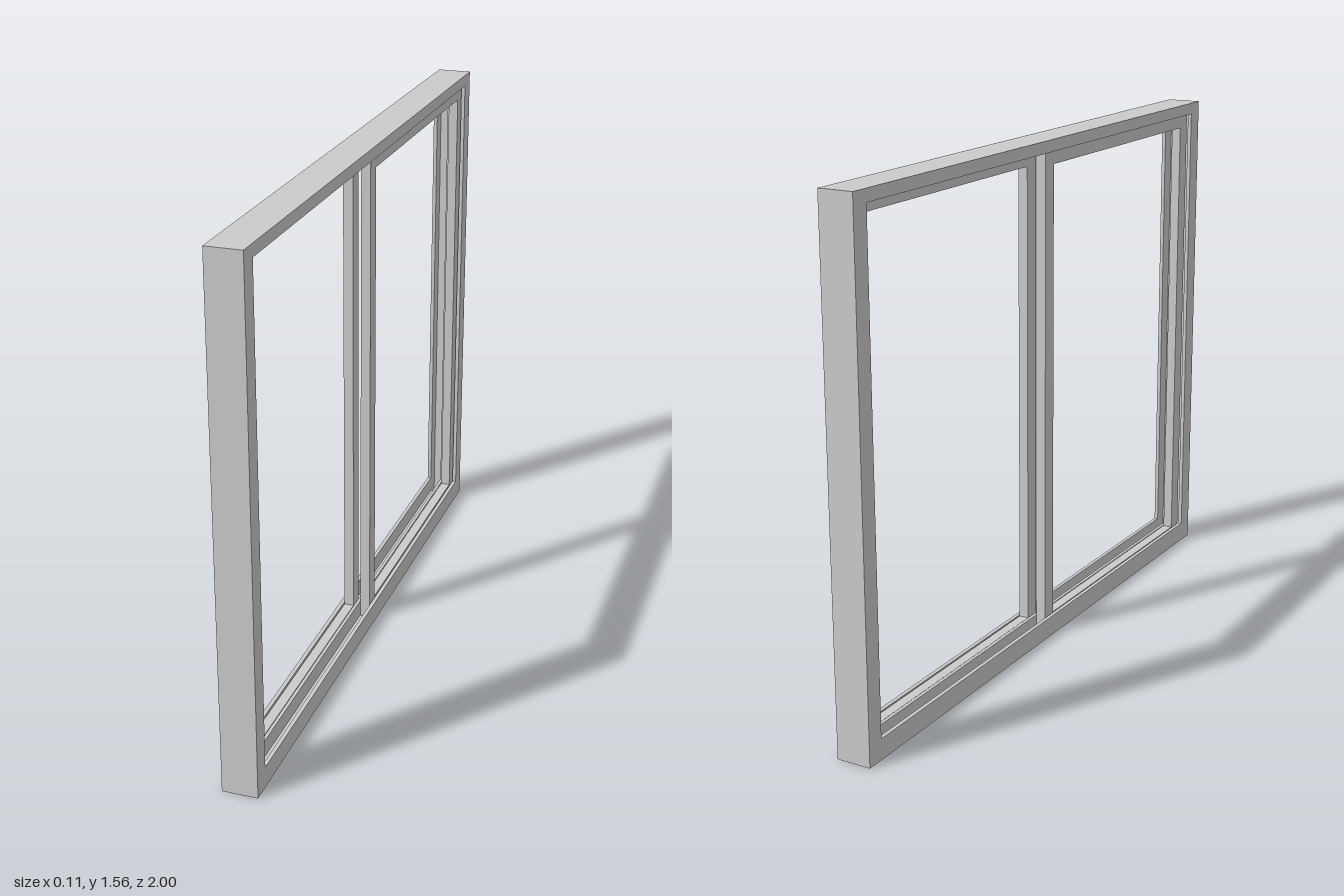
import * as THREE from 'three';

const material = new THREE.MeshStandardMaterial({ color: 0xcccccc, flatShading: true });

// outline [z0, y0, z1, y1] of a rectangle
const corners = ([z0, y0, z1, y1]) => [[z0, y0], [z1, y0], [z1, y1], [z0, y1]].map(p => new THREE.Vector2(...p));

// flat outline in the z-y plane, extruded from x0 to x1
function slab(name, points, hole, x0, x1) {
  const shape = new THREE.Shape(points);
  if (hole) shape.holes.push(new THREE.Path(corners(hole)));
  const geometry = new THREE.ExtrudeGeometry(shape, { depth: x1 - x0, bevelEnabled: false });
  geometry.rotateY(-Math.PI / 2).translate(x1, 0, 0);
  const mesh = new THREE.Mesh(geometry, material);
  mesh.name = name;
  return mesh;
}

export function createModel() {
  const model = new THREE.Group();
  model.name = 'slidingWindow';

  const H = 1.56, D = 0.053;                 // frame height and half depth
  const opening = [-0.943, 0.063, 0.943, 1.524];
  const wall = 0.012, lip = 0.012, sill = 0.012;

  // outer frame: two outer lips and a centre divider form two tracks
  const frame = new THREE.Group();
  frame.name = 'outerFrame';
  const outer = corners([-1, 0, 1, H]);
  frame.add(
    slab('outerLip', outer, opening, D - lip, D),
    slab('innerLip', outer, opening, -D, -D + lip),
    slab('trackDivider', outer, opening, -0.005, 0.005)
  );

  // track floors: jambs and head in one piece, open below the jambs, plus the sill
  const arch = [[-1, 0], [-1 + wall, 0], [-1 + wall, H - wall], [1 - wall, H - wall],
    [1 - wall, 0], [1, 0], [1, H], [-1, H]].map(p => new THREE.Vector2(...p));
  for (const [x0, x1] of [[0.005, D - lip], [-D + lip, -0.005]]) {
    frame.add(
      slab('jambAndHeadFloor', arch, null, x0, x1),
      slab('sillFloor', corners([-0.943, 0, 0.943, sill]), null, x0, x1)
    );
  }
  model.add(frame);

  // two sliding sashes, one in each track
  const bar = 0.05, low = sill, high = 1.532;
  for (const [name, z0, z1, x0, x1] of [
    ['outerSash', -0.964, 0, 0.007, 0.037],
    ['innerSash', -0.02, 0.943, -0.037, -0.007]
  ]) {
    model.add(slab(name, corners([z0, low, z1, high]),
      [z0 + bar, low + bar, z1 - bar, high - bar], x0, x1));
  }
  return model;
}
